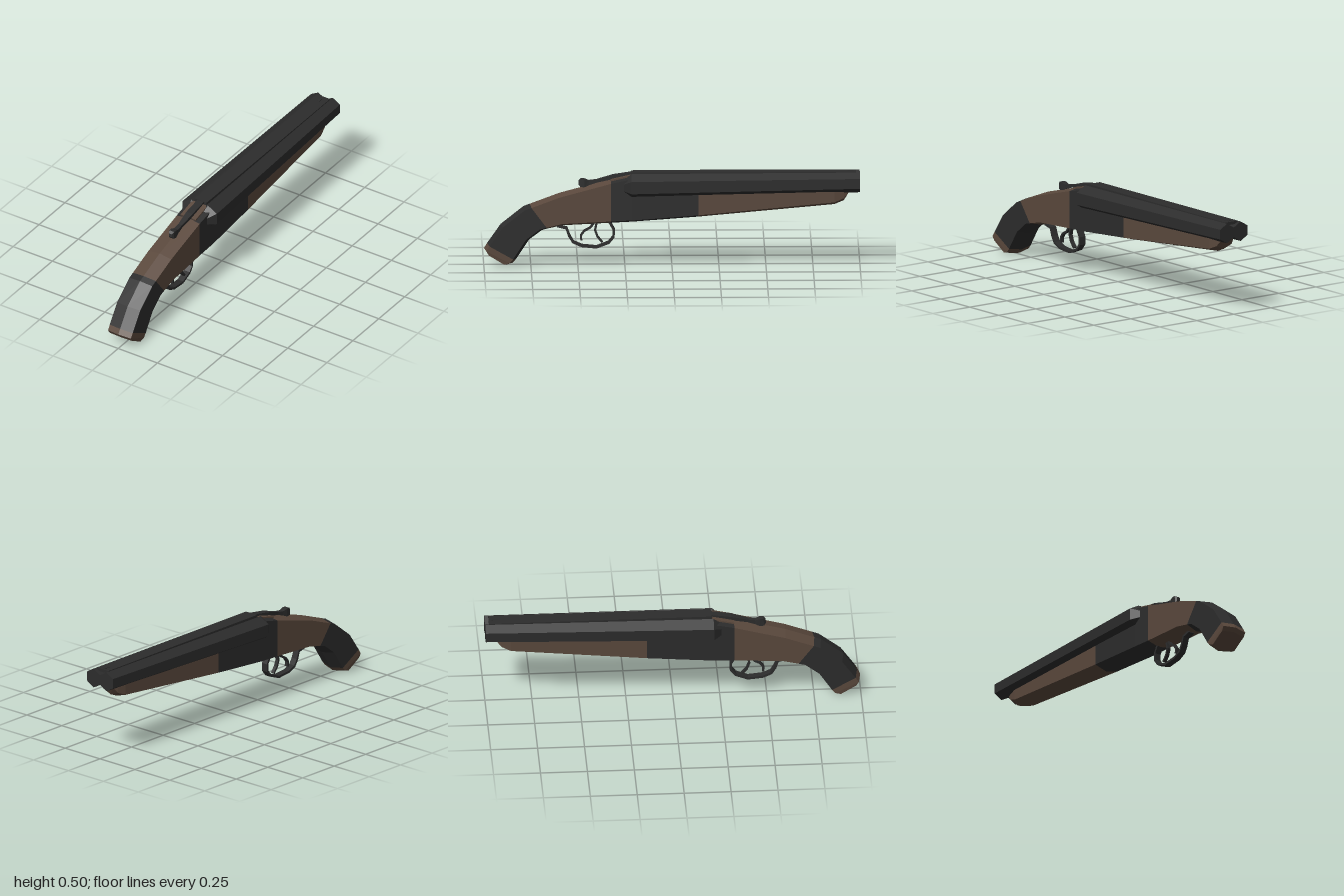
import * as THREE from 'three';

const steel = new THREE.MeshStandardMaterial({ color: 0x2c2c2c });
steel.name = 'darkSteel';
const wood = new THREE.MeshStandardMaterial({ color: 0x5a483c });
wood.name = 'brownWood';

// Skins a list of rings (arrays of [x, y, z]) into a closed, faceted solid
function loft(rings) {
  const p = [];
  const tri = (a, b, c) => p.push(...a, ...b, ...c);
  const n = rings[0].length;
  for (let i = 0; i < rings.length - 1; i++) {
    for (let j = 0; j < n; j++) {
      const k = (j + 1) % n;
      const [a, b, c, d] = [rings[i][j], rings[i][k], rings[i + 1][k], rings[i + 1][j]];
      tri(a, b, c);
      tri(a, c, d);
    }
  }
  const first = rings[0], last = rings[rings.length - 1];
  for (let j = 1; j < n - 1; j++) {
    tri(first[0], first[j + 1], first[j]);
    tri(last[0], last[j], last[j + 1]);
  }
  // Turn the faces outward when the enclosed volume is negative
  let volume = 0;
  const v = (i) => new THREE.Vector3(p[i], p[i + 1], p[i + 2]);
  for (let i = 0; i < p.length; i += 9) volume += v(i).dot(v(i + 3).cross(v(i + 6)));
  if (volume < 0) {
    for (let i = 0; i < p.length; i += 9) {
      for (let k = 0; k < 3; k++) [p[i + 3 + k], p[i + 6 + k]] = [p[i + 6 + k], p[i + 3 + k]];
    }
  }
  const g = new THREE.BufferGeometry();
  g.setAttribute('position', new THREE.Float32BufferAttribute(p, 3));
  g.computeVertexNormals();
  return g;
}

// Ridged six-sided section between a top and a bottom point of the side profile
function bodyRing([tz, ty, bz, by, w]) {
  const len = Math.hypot(tz - bz, ty - by);
  const at = (x, d) => {
    const t = d / len;
    return [x, ty + (by - ty) * t, tz + (bz - tz) * t];
  };
  const top = Math.min(0.013, len * 0.3), low = len - Math.min(0.02, len * 0.3);
  return [at(0, 0), at(w, top), at(w, low), at(0, len), at(-w, low), at(-w, top)];
}

// Flat strip following a [z, y] path; thickness and width may vary along it
function strip(path, thickness, width) {
  return loft(path.map(([z, y, t = thickness, w = width], i) => {
    const a = path[Math.max(i - 1, 0)], b = path[Math.min(i + 1, path.length - 1)];
    const l = Math.hypot(b[0] - a[0], b[1] - a[1]);
    const nz = (-(b[1] - a[1]) / l) * t / 2, ny = ((b[0] - a[0]) / l) * t / 2;
    return [[w, y + ny, z + nz], [w, y - ny, z - nz], [-w, y - ny, z - nz], [-w, y + ny, z + nz]];
  }));
}

function hexRing(cx, cy, r, z) {
  return Array.from({ length: 6 }, (_, i) => {
    const a = Math.PI / 2 + i * Math.PI / 3;
    return [cx + r * Math.cos(a), cy + r * Math.sin(a), z];
  });
}

export function createModel() {
  const model = new THREE.Group();
  const add = (name, geometry, material) => {
    const mesh = new THREE.Mesh(geometry, material);
    mesh.name = name;
    model.add(mesh);
    return mesh;
  };

  // Body pieces share their boundary sections: [topZ, topY, bottomZ, bottomY, halfWidth]
  const gripEnd = [0.982, 0.117, 0.828, 0.03, 0.073];
  const wristStart = [0.755, 0.328, 0.655, 0.195, 0.073];
  const breech = [0.325, 0.46, 0.325, 0.224, 0.073];
  const foreStart = [-0.14, 0.45, -0.14, 0.256, 0.073];
  const body = (name, sections, material) => add(name, loft(sections.map(bodyRing)), material);

  body('buttCap', [
    [0.985, 0.068, 0.875, 0.001, 0.071],
    [0.999, 0.09, 0.845, 0.01, 0.073],
    gripEnd,
  ], wood);
  body('gripWrap', [
    gripEnd,
    [0.91, 0.22, 0.76, 0.134, 0.073],
    [0.79, 0.315, 0.69, 0.186, 0.073],
    wristStart,
  ], steel);
  body('wrist', [wristStart, [0.6, 0.386, 0.58, 0.211, 0.073], breech], wood);
  body('receiver', [
    breech,
    [0.21, 0.485, 0.21, 0.23, 0.076],
    [0.18, 0.455, 0.18, 0.232, 0.076],
    foreStart,
  ], steel);
  body('foreEnd', [
    foreStart,
    [-0.865, 0.43, -0.865, 0.322, 0.062],
    [-0.915, 0.42, -0.915, 0.343, 0.052],
    [-0.945, 0.415, -0.945, 0.392, 0.04],
  ], wood);

  // Side-by-side barrels with tapered breech ends
  for (const s of [1, -1]) {
    add(s > 0 ? 'leftBarrel' : 'rightBarrel', loft([
      hexRing(s * 0.042, 0.425, 0.036, 0.258),
      hexRing(s * 0.053, 0.43, 0.066, 0.215),
      hexRing(s * 0.046, 0.447, 0.053, -1),
    ]), steel);
    // Wooden inlay beside the top lever
    add('topInlay', strip([[0.325, 0.46], [0.21, 0.486]], 0.008, 0.014), wood).position.x = s * 0.034;
  }

  // Sighting rib and bead
  add('rib', strip([[0.205, 0.493, 0.018, 0.038], [-0.98, 0.494, 0.016, 0.042]], 0.018, 0.04), steel);
  add('frontBead', strip([[-0.93, 0.5], [-0.965, 0.502]], 0.006, 0.008), steel);

  // Opening lever with a thumb knob
  add('topLever', strip([
    [0.19, 0.49, 0.024, 0.02], [0.31, 0.474, 0.02, 0.02], [0.4, 0.451, 0.016, 0.012],
    [0.44, 0.442, 0.024, 0.013], [0.465, 0.44, 0.044, 0.017], [0.485, 0.442, 0.042, 0.016],
    [0.496, 0.443, 0.018, 0.009],
  ], 0.02, 0.015), steel);

  // Trigger guard and the two triggers
  add('triggerGuard', strip([
    [0.61, 0.21], [0.56, 0.197], [0.545, 0.155], [0.525, 0.122], [0.48, 0.102], [0.4, 0.094],
    [0.335, 0.119], [0.31, 0.15], [0.309, 0.19], [0.33, 0.228],
  ], 0.013, 0.018), steel);
  add('rearTrigger', strip([
    [0.415, 0.222], [0.435, 0.198], [0.465, 0.182], [0.483, 0.158], [0.481, 0.13],
  ], 0.011, 0.01), steel);
  add('frontTrigger', strip([
    [0.4, 0.222], [0.408, 0.185], [0.395, 0.15], [0.37, 0.12],
  ], 0.011, 0.01), steel);

  return model;
}
